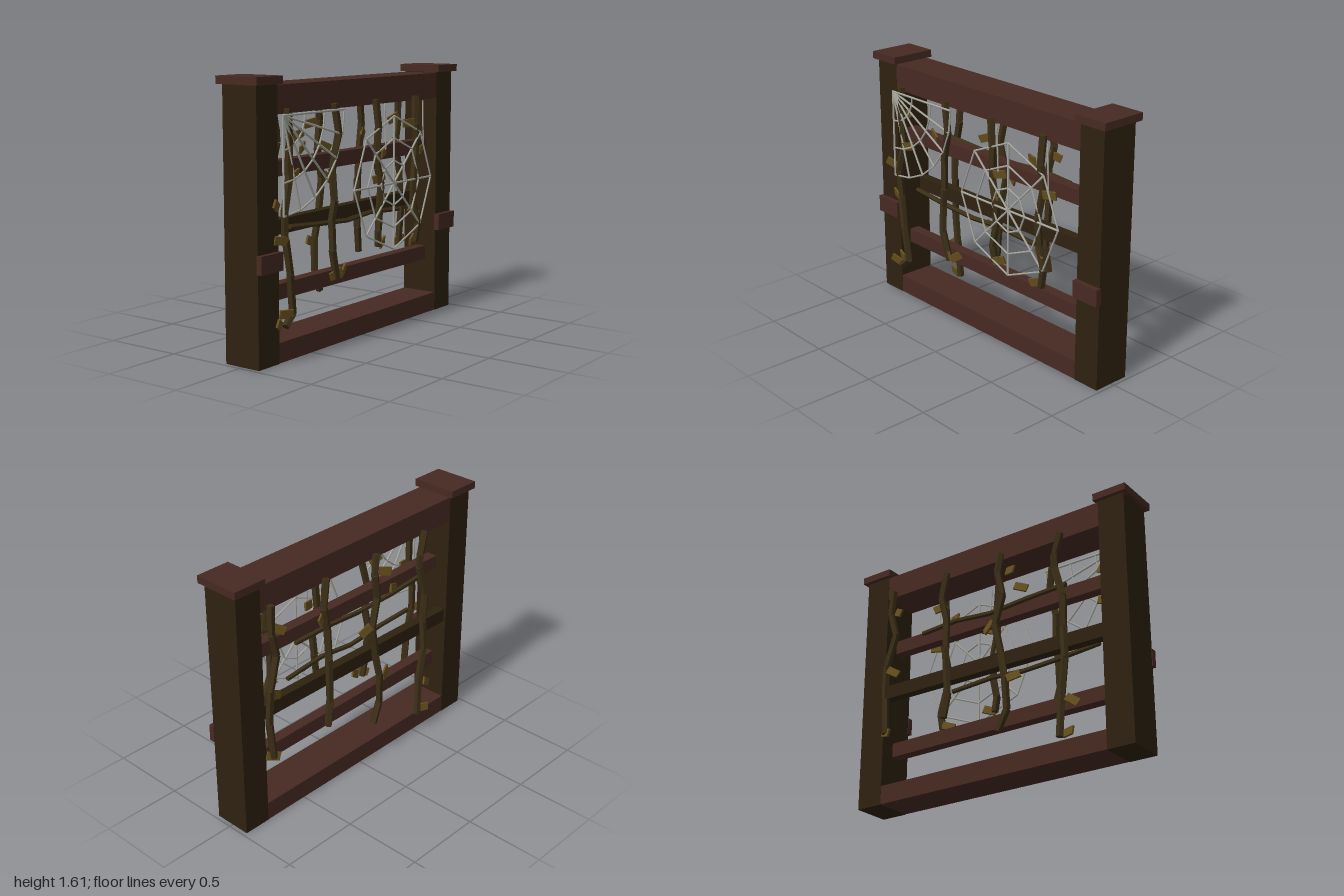
import * as THREE from 'three';

const mat = (name, color, extra = {}) => {
  const m = new THREE.MeshStandardMaterial({ color, ...extra });
  m.name = name;
  return m;
};

export function createModel() {
  const root = new THREE.Group();
  root.name = 'overgrownFence';
  const redWood = mat('redWood', 0x472a22);
  const darkWood = mat('darkWood', 0x2e210f);
  const vineMat = mat('vineBark', 0x3c2f17, { flatShading: true });
  const leafMat = mat('dryLeaf', 0x67501f);
  const webMat = mat('webSilk', 0xaaaaa2);

  const group = (name) => {
    const g = new THREE.Group();
    g.name = name;
    root.add(g);
    return g;
  };
  const box = (name, material, size, pos, parent = root) => {
    const m = new THREE.Mesh(new THREE.BoxGeometry(...size), material);
    m.name = name;
    m.position.set(...pos);
    parent.add(m);
    return m;
  };
  // Straight rod between two points
  const up = new THREE.Vector3(0, 1, 0);
  const rod = (name, material, a, b, r0, r1, sides, parent) => {
    const d = b.clone().sub(a);
    const m = new THREE.Mesh(new THREE.CylinderGeometry(r1, r0, d.length(), sides), material);
    m.name = name;
    m.position.copy(a).add(b).multiplyScalar(0.5);
    m.quaternion.setFromUnitVectors(up, d.normalize());
    parent.add(m);
  };
  const V = (x, y, z) => new THREE.Vector3(x, y, z);

  // Posts with caps and front bands
  for (const s of [-1, 1]) {
    const side = s > 0 ? 'left' : 'right';
    box(side + 'Post', darkWood, [0.176, 1.56, 0.24], [s * 0.887, 0.78, 0]);
    box(side + 'PostCap', redWood, [0.22, 0.045, 0.292], [s * 0.89, 1.5825, 0]);
    box(side + 'PostBand', redWood, [0.185, 0.105, 0.036], [s * 0.888, 0.588, 0.132]);
  }

  // Rails
  box('topRail', redWood, [1.6, 0.16, 0.238], [0, 1.475, 0]);
  box('bottomRail', redWood, [1.6, 0.117, 0.238], [0, 0.06, 0]);
  box('upperRail', redWood, [1.6, 0.088, 0.07], [0, 1.084, 0.01]);
  box('lowerRail', redWood, [1.6, 0.09, 0.07], [0, 0.381, 0.01]).rotation.z = -0.004;
  box('middleRail', darkWood, [1.6, 0.088, 0.06], [0, 0.735, -0.075]).rotation.z = 0.008;

  // Climbing vines: bent chains of tapered rods
  const vine = (name, pts, z, r) => {
    const g = group(name);
    pts.slice(1).forEach((p, i) => {
      const q = pts[i];
      const za = z + Math.sign(z) * 0.008 * (i % 2), zb = z + Math.sign(z) * 0.008 * ((i + 1) % 2);
      rod('vineSegment', vineMat, V(q[0], q[1], za), V(p[0], p[1], zb), r, r * 0.95, 5, g);
    });
  };
  const frontVines = [
    [[-0.73, 1.425], [-0.73, 1.22], [-0.72, 1.05], [-0.77, 0.87], [-0.76, 0.7], [-0.73, 0.5], [-0.70, 0.27], [-0.77, 0.21]],
    [[-0.31, 1.425], [-0.28, 1.25], [-0.33, 1.05], [-0.32, 0.87], [-0.34, 0.75], [-0.34, 0.58], [-0.29, 0.4]],
    [[0.1, 1.425], [0.12, 1.25], [0.11, 1.05], [0.15, 0.9], [0.14, 0.75], [0.12, 0.63], [0.13, 0.53]],
    [[0.53, 1.425], [0.52, 1.25], [0.54, 1.1], [0.5, 0.9], [0.51, 0.75], [0.555, 0.62], [0.53, 0.5]],
  ];
  const backVines = [
    [[-0.54, 1.425], [-0.5, 1.29], [-0.5, 1.2], [-0.555, 1.0], [-0.55, 0.8], [-0.56, 0.6], [-0.53, 0.38], [-0.515, 0.13]],
    [[-0.11, 1.425], [-0.09, 1.3], [-0.12, 1.14], [-0.07, 0.95], [-0.11, 0.75], [-0.14, 0.6], [-0.15, 0.39], [-0.09, 0.26]],
    [[0.31, 1.425], [0.34, 1.25], [0.305, 1.1], [0.3, 0.9], [0.285, 0.6], [0.31, 0.44]],
    [[0.74, 1.425], [0.75, 1.25], [0.71, 1.1], [0.77, 0.9], [0.78, 0.68], [0.76, 0.44]],
  ];
  frontVines.forEach((p) => vine('frontVine', p, 0.136, 0.024));
  backVines.forEach((p) => vine('backVine', p, -0.136, 0.024));

  // Vines trailing sideways between the uprights
  vine('lowerCrossVine', [[-0.66, 0.755], [-0.4, 0.738], [-0.12, 0.72], [0.12, 0.742], [0.42, 0.72]], 0.085, 0.016);
  vine('upperCrossVine', [[-0.55, 1.1], [-0.3, 1.085], [0, 1.07], [0.25, 1.09], [0.52, 1.08]], -0.095, 0.016);

  // Leaves: x, y, turn in degrees, side (1 front, -1 back)
  const leaves = [
    [-0.66, 1.27, 30, 1], [-0.84, 0.9, -30, 1], [-0.8, 0.7, -5, 1], [-0.67, 1.055, 8, 1],
    [-0.76, 0.28, 0, 1], [-0.82, 0.23, -30, 1], [-0.3, 0.43, 25, 1], [-0.23, 0.44, 32, 1],
    [-0.41, 1.19, -20, 1], [0.18, 1.1, 8, 1], [0.13, 0.95, 20, 1], [0.17, 0.55, 15, 1],
    [0.45, 1.26, 5, 1], [0.59, 1.085, 0, 1], [0.51, 0.7, -35, 1], [0.49, 0.52, 15, 1],
    [-0.18, 1.29, 15, -1], [-0.26, 1.15, 18, -1], [-0.02, 0.95, -30, -1], [-0.2, 0.585, -22, -1],
    [-0.57, 0.15, 5, -1], [-0.6, 0.335, 32, -1], [0.69, 1.26, 30, -1], [0.72, 0.85, 28, -1],
    [0.76, 0.45, 20, -1], [0.35, 1.19, -25, -1],
  ];
  const leafGroup = group('leaves');
  leaves.forEach(([x, y, deg, s], i) => {
    const leaf = box('leaf', leafMat, [0.085, 0.05, 0.012], [x, y, s * 0.14], leafGroup);
    leaf.rotation.set(0.15, (i % 2 ? 1 : -1) * 0.35, THREE.MathUtils.degToRad(deg));
  });

  // Spider webs: spokes joined by straight ring threads
  const web = (name, cx, cy, z, radii, start, step, count, closed) => {
    const g = group(name);
    const at = (i, r) => V(cx + r * Math.cos(start + i * step), cy + r * Math.sin(start + i * step), z);
    for (let i = 0; i < count; i++) {
      rod('spoke', webMat, V(cx, cy, z), at(i, radii[radii.length - 1]), 0.007, 0.007, 5, g);
      if (i < count - 1 || closed) {
        for (const r of radii) rod('ringThread', webMat, at(i, r), at(i + 1, r), 0.006, 0.006, 5, g);
      }
    }
  };
  web('cornerWeb', -0.795, 1.39, 0.156, [0.19, 0.37, 0.555], 0, -Math.PI / 12, 7, false);
  web('roundWeb', 0.268, 0.905, 0.157, [0.138, 0.275, 0.412], 0, Math.PI / 4, 8, true);

  // Loose hanging threads
  const threads = group('hangingThreads');
  rod('thread', webMat, V(0.17, 1.39, 0.155), V(0.18, 1.12, 0.155), 0.005, 0.005, 5, threads);
  rod('thread', webMat, V(0.585, 1.39, 0.155), V(0.595, 1.12, 0.155), 0.005, 0.005, 5, threads);

  return root;
}
